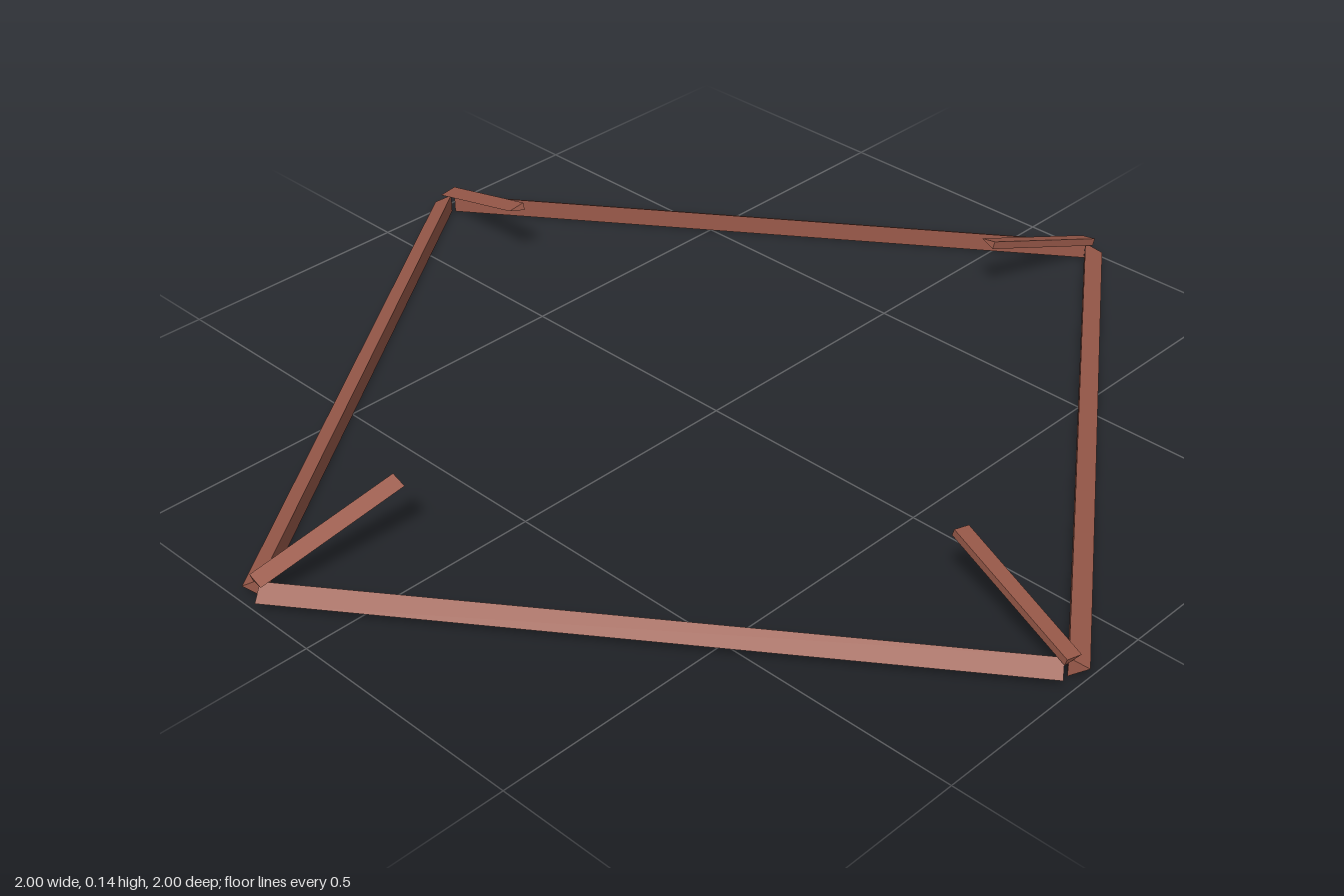
import * as THREE from 'three';

// Straight three-sided beam between two points: a flat upright face on one side
// and a pointed edge on the other (positive width points left of the run)
function beam(name, a, b, width, thickness, material) {
  const section = new THREE.Shape([
    new THREE.Vector2(width / 2, 0),
    new THREE.Vector2(-width / 2, thickness / 2),
    new THREE.Vector2(-width / 2, -thickness / 2),
  ]);
  const length = a.distanceTo(b);
  const geometry = new THREE.ExtrudeGeometry(section, { depth: length, bevelEnabled: false });
  const mesh = new THREE.Mesh(geometry, material);
  mesh.name = name;
  mesh.position.copy(a);
  mesh.lookAt(b);
  return mesh;
}

export function createModel() {
  const model = new THREE.Group();
  model.name = 'beamFrame';
  const wood = new THREE.MeshStandardMaterial({ color: 0x9a5a4a, flatShading: true });
  wood.name = 'reddishWood';

  // Four sides, each a ground beam with a slanted rafter stub at its corner
  for (let i = 0; i < 4; i++) {
    const side = new THREE.Group();
    side.name = 'side' + (i + 1);
    side.add(beam('groundBeam',
      new THREE.Vector3(-0.976, 0.02, -0.18),
      new THREE.Vector3(0.15, 0.02, -0.986), 0.037, 0.04, wood));
    side.add(beam('rafterStub',
      new THREE.Vector3(0.16, 0.043, -0.98),
      new THREE.Vector3(0.11, 0.135, -0.692), -0.036, 0.016, wood));
    side.rotation.y = i * Math.PI / 2;
    model.add(side);
  }
  return model;
}
